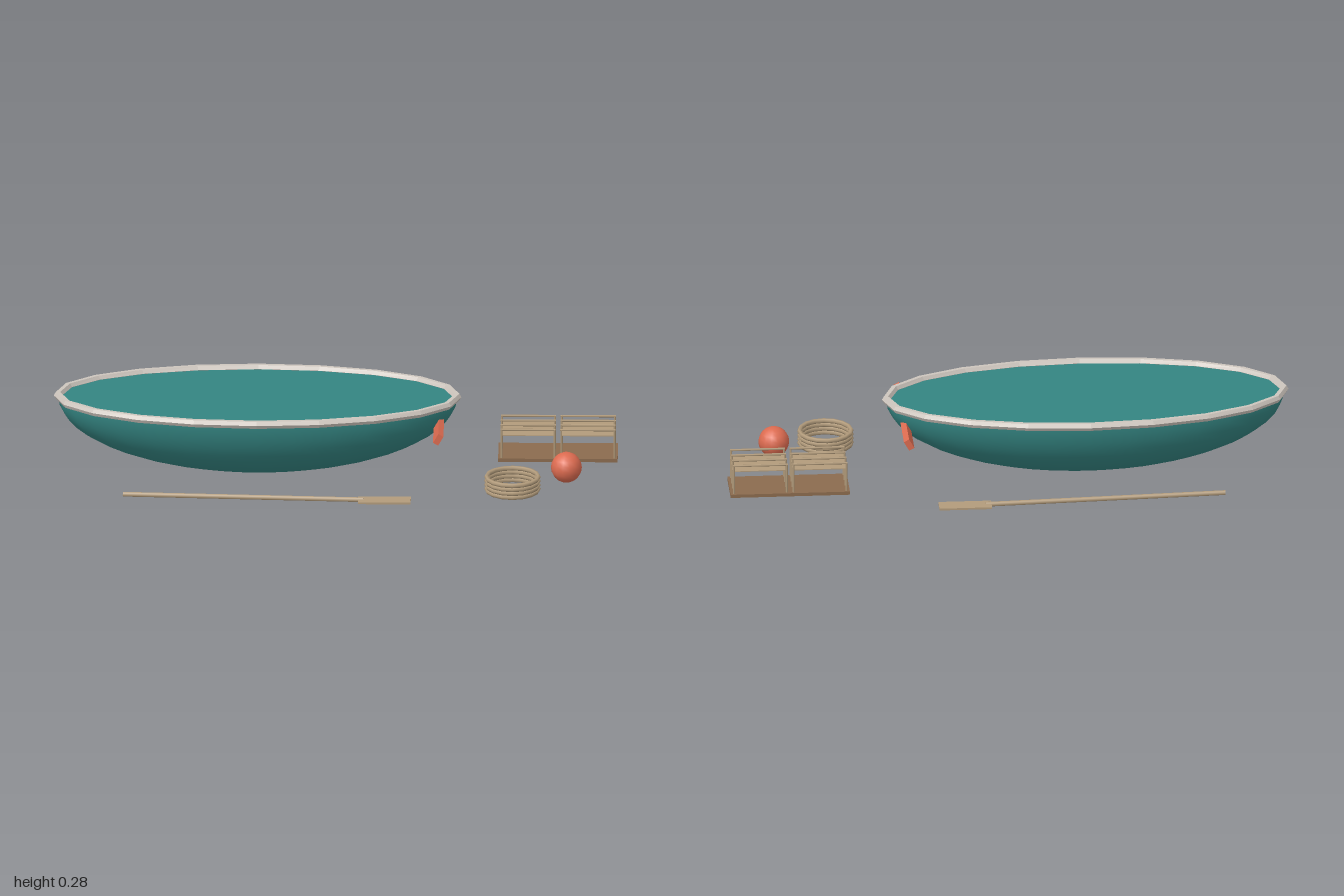
import * as THREE from 'three';

export function createModel() {
  const group = new THREE.Group();
  const mat = (name, color) => {
    const m = new THREE.MeshStandardMaterial({ color });
    m.name = name;
    return m;
  };
  const teal = mat('teal hull paint', 0x348481);
  const grey = mat('pale rim', 0xcdc5bd);
  const wood = mat('tan wood', 0xb29b7b);
  const brown = mat('brown wood', 0x8b6b4e);
  const orange = mat('orange', 0xdc6b50);

  const add = (parent, name, geo, material, x = 0, y = 0, z = 0) => {
    const mesh = new THREE.Mesh(geo, material);
    mesh.name = name;
    mesh.position.set(x, y, z);
    parent.add(mesh);
    return mesh;
  };
  const subgroup = (name) => {
    const g = new THREE.Group();
    g.name = name;
    group.add(g);
    return g;
  };
  const flat = (geo) => {
    const g = geo.toNonIndexed();
    g.computeVertexNormals();
    return g;
  };
  // Round rod between two points
  const rod = (parent, name, a, b, r, material, sides = 8) => {
    const dir = b.clone().sub(a);
    const mesh = add(parent, name, new THREE.CylinderGeometry(r, r, dir.length(), sides), material);
    mesh.position.copy(a).addScaledVector(dir, 0.5);
    mesh.quaternion.setFromUnitVectors(new THREE.Vector3(0, 1, 0), dir.normalize());
    return mesh;
  };
  const V = (x, y, z) => new THREE.Vector3(x, y, z);

  // Boat: half-ellipsoid hull, closed by a flat cover
  const boat = subgroup('boat');
  const cx = -0.277, rimY = 0.266;
  const hull = add(boat, 'hull',
    new THREE.SphereGeometry(1, 32, 12, 0, Math.PI * 2, Math.PI / 2, Math.PI / 2), teal, cx, rimY, 0);
  hull.scale.set(0.708, rimY, 0.295);
  const cover = add(boat, 'cover', new THREE.CircleGeometry(1, 32).rotateX(-Math.PI / 2), teal, cx, rimY, 0);
  cover.scale.set(0.708, 1, 0.295);

  // Rim: a six-sided tube stretched along an ellipse
  const rim = new THREE.TorusGeometry(1, 0.015, 6, 20);
  const p = rim.attributes.position;
  for (let i = 0; i < p.count; i++) {
    const x = p.getX(i), y = p.getY(i), len = Math.hypot(x, y);
    p.setX(i, (x / len) * (0.708 + len - 1));
    p.setY(i, (y / len) * (0.293 + len - 1));
  }
  add(boat, 'rim', flat(rim.rotateX(-Math.PI / 2)), grey, cx, rimY + 0.001, 0);

  // Tilted board passing through the hull near one end
  const board = add(boat, 'crossBoard', new THREE.BoxGeometry(0.021, 0.038, 0.52), orange, 0.367, 0.201, 0);
  board.rotation.z = -0.52;

  // Pair of oars on the ground
  for (const s of [1, -1]) {
    const oar = subgroup(s > 0 ? 'frontOar' : 'backOar');
    rod(oar, 'shaft', V(-0.75, 0.026, s * 0.357), V(0.105, 0.026, s * 0.403), 0.009, wood);
    add(oar, 'blade', new THREE.BoxGeometry(0.187, 0.007, 0.061), wood, 0.178, 0.026, s * 0.409);
  }

  // Coil of rope
  const coil = subgroup('ropeCoil');
  for (let i = 0; i < 4; i++) {
    add(coil, 'ropeLoop', new THREE.TorusGeometry(0.092, 0.0085, 6, 16).rotateX(Math.PI / 2),
      wood, 0.63, 0.0085 + i * 0.0148, 0.235);
  }

  // Float
  add(group, 'float', new THREE.SphereGeometry(0.055, 14, 10), orange, 0.82, 0.057, 0.143);

  // Crate: base slab, two sets of hoops and a thin shelf in each
  const crate = subgroup('crate');
  add(crate, 'base', new THREE.BoxGeometry(0.424, 0.012, 0.164), brown, 0.787, 0.007, -0.143);
  for (const x of [0.681, 0.893]) {
    add(crate, 'shelf', new THREE.BoxGeometry(0.194, 0.003, 0.144), wood, x, 0.097, -0.142);
    for (let i = 0; i < 4; i++) {
      const z = -0.07 - i * 0.048;
      for (const s of [-1, 1]) {
        rod(crate, 'post', V(x + s * 0.094, 0.01, z), V(x + s * 0.094, 0.121, z), 0.004, wood, 6);
      }
      rod(crate, 'topBar', V(x - 0.098, 0.119, z), V(x + 0.098, 0.119, z), 0.004, wood, 6);
    }
  }

  return group;
}
